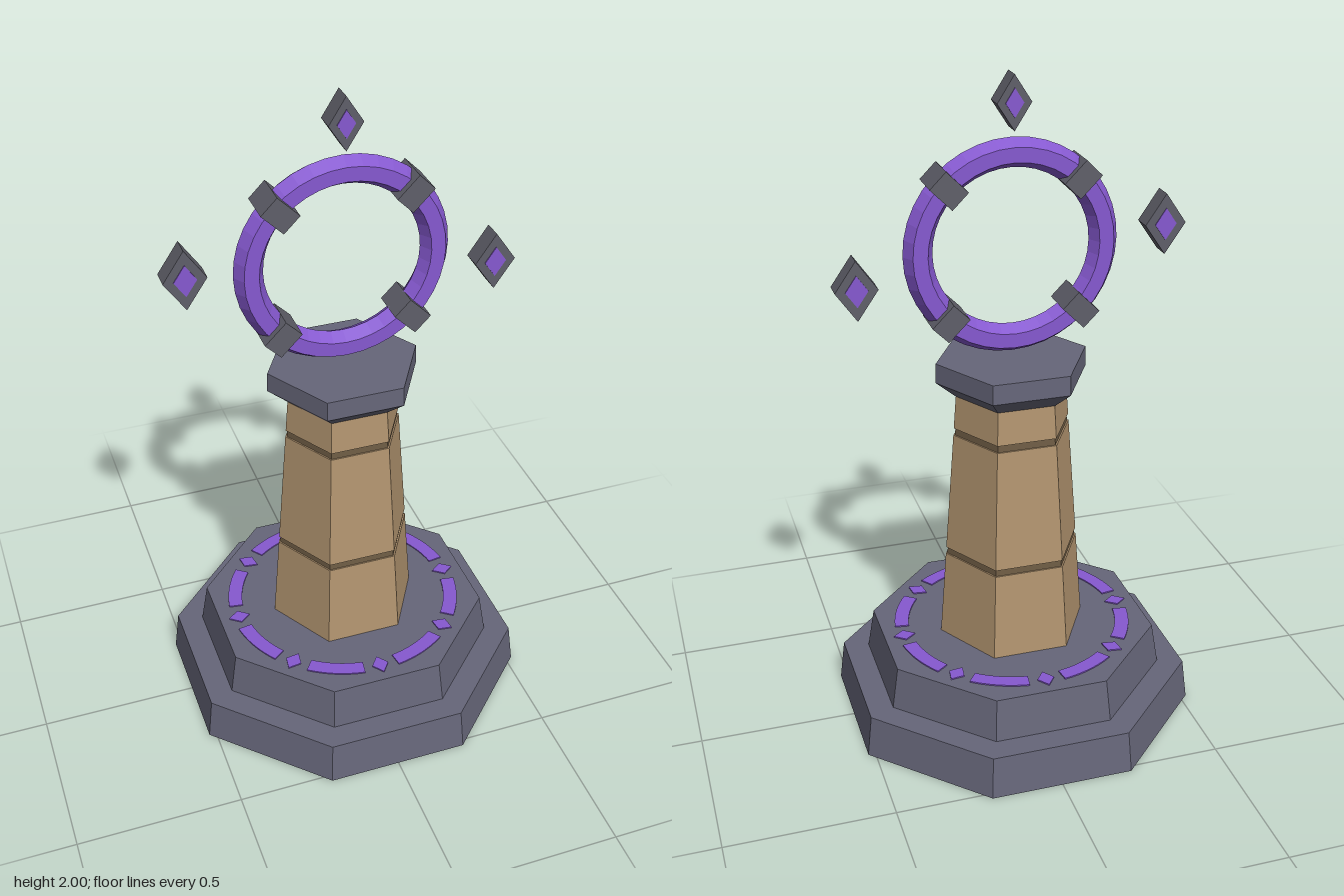
import * as THREE from 'three';

const mat = (name, color) => {
  const m = new THREE.MeshStandardMaterial({ color, flatShading: true });
  m.name = name;
  return m;
};

export function createModel() {
  const model = new THREE.Group();
  model.name = 'runePedestal';

  const stone = mat('blueGreyStone', 0x666679);
  const metal = mat('darkGreyMetal', 0x5f5f69);
  const tan = mat('tanStone', 0xb39570);
  const seam = mat('brownSeam', 0x6e5c44);
  const purple = mat('purpleGlow', 0x8659d0);

  const add = (name, geometry, material, parent = model) => {
    const mesh = new THREE.Mesh(geometry, material);
    mesh.name = name;
    parent.add(mesh);
    return mesh;
  };

  // Tapered prism from y0 to y1, with bottom and top corner radii
  const prism = (name, material, sides, y0, y1, r0, r1) => {
    const g = new THREE.CylinderGeometry(r1, r0, y1 - y0, sides, 1, false, Math.PI / sides);
    return add(name, g.translate(0, (y0 + y1) / 2, 0), material);
  };

  const diamond = (hw, hh) => new THREE.Shape([
    new THREE.Vector2(hw, 0), new THREE.Vector2(0, hh),
    new THREE.Vector2(-hw, 0), new THREE.Vector2(0, -hh),
  ]);
  const plate = (shape, depth) =>
    new THREE.ExtrudeGeometry(shape, { depth, bevelEnabled: false, curveSegments: 8 });

  // Two octagonal steps
  const toCorner = 1 / Math.cos(Math.PI / 8);
  prism('lowerStep', stone, 8, 0, 0.13, 0.522 * toCorner, 0.507 * toCorner);
  prism('upperStep', stone, 8, 0.13, 0.26, 0.432 * toCorner, 0.412 * toCorner);

  // Hexagonal column in three blocks with recessed seams
  const columnRadius = (y) => 0.232 - (y - 0.26) * 0.076;
  const block = (name, material, y0, y1, inset = 0) =>
    prism(name, material, 6, y0, y1, columnRadius(y0) - inset, columnRadius(y1) - inset);
  block('columnLower', tan, 0.26, 0.535);
  block('seamLower', seam, 0.535, 0.556, 0.005);
  block('columnMiddle', tan, 0.556, 0.934);
  block('seamUpper', seam, 0.934, 0.956, 0.005);
  block('columnUpper', tan, 0.956, 1.065);

  // Flared capital
  prism('capitalFlare', stone, 6, 1.06, 1.11, 0.173, 0.232);
  prism('capitalSlab', stone, 6, 1.11, 1.17, 0.232, 0.23);

  // Circle of dashes and diamonds on the upper step
  const runes = new THREE.Group();
  runes.name = 'runeCircle';
  runes.rotation.x = -Math.PI / 2;
  runes.position.y = 0.26;
  model.add(runes);
  const half = THREE.MathUtils.degToRad(14);
  const dash = new THREE.Shape();
  dash.absarc(0, 0, 0.372, -half, half, false);
  dash.absarc(0, 0, 0.328, half, -half, true);
  dash.closePath();
  const dashGeometry = plate(dash, 0.004);
  const markGeometry = plate(diamond(0.034, 0.026), 0.004).translate(0.35, 0, 0);
  for (let i = 0; i < 8; i++) {
    const a = i * Math.PI / 4;
    add('runeDiamond', markGeometry, purple, runes).rotation.z = a;
    add('runeDash', dashGeometry, purple, runes).rotation.z = a + Math.PI / 8;
  }

  // Upright ring with four clamps
  const ring = new THREE.Group();
  ring.name = 'portalRing';
  ring.position.y = 1.504;
  model.add(ring);
  add('ring', new THREE.TorusGeometry(0.275, 0.043, 6, 40), purple, ring);
  const clampGeometry = new THREE.BoxGeometry(0.09, 0.067, 0.114).translate(0.275, 0, 0);
  for (let i = 0; i < 4; i++) {
    add('clamp', clampGeometry, metal, ring).rotation.z = Math.PI / 4 + i * Math.PI / 2;
  }

  // Floating crystals, inlaid on front and back: x, y, half width, half height
  const crystals = [
    [0, 1.922, 0.05, 0.078],
    [-0.458, 1.537, 0.062, 0.091],
    [0.457, 1.427, 0.062, 0.089],
  ];
  for (const [x, y, hw, hh] of crystals) {
    const crystal = new THREE.Group();
    crystal.name = 'floatingCrystal';
    crystal.position.set(x, y, 0);
    model.add(crystal);
    add('crystalBody', plate(diamond(hw, hh), 0.06).translate(0, 0, -0.03), metal, crystal);
    const inlay = plate(diamond(hw * 0.53, hh * 0.53), 0.004);
    add('inlayFront', inlay, purple, crystal).position.z = 0.029;
    add('inlayBack', inlay, purple, crystal).position.z = -0.033;
  }

  return model;
}
